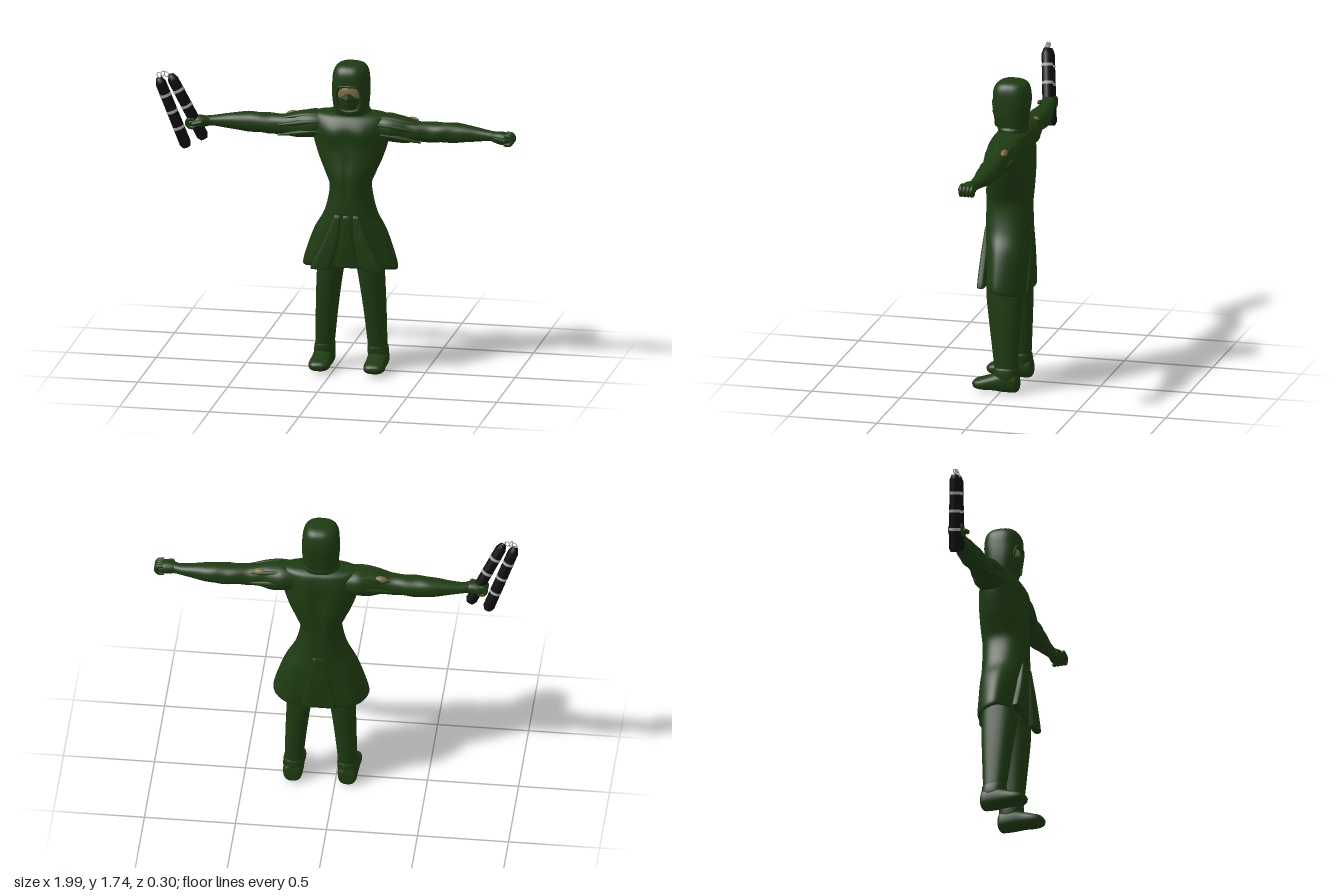
import * as THREE from 'three';
import { ConvexGeometry } from 'three/addons/geometries/ConvexGeometry.js';

const mat = (color) => new THREE.MeshStandardMaterial({ color });
const CX = 0.083; // middle of the body; the weapon on one side shifts it off x = 0

// Catmull-Rom blend of one number
const blend = (a, b, c, d, t) =>
  b + 0.5 * t * (c - a + t * (2 * a - 5 * b + 4 * c - d + t * (3 * (b - c) + d - a)));

// Smooth skin through sections [position, centre1, centre2, radius1, radius2] along an axis.
// axis x: (y, z), axis y: (x, z), axis z: (x, y). p rounds or squares the section.
function loft(axis, sections, { n = 32, steps = 5, p = 2.3, rule } = {}) {
  const order = { x: [1, 2, 0], y: [0, 2, 1], z: [0, 1, 2] }[axis];
  const rows = [];
  const at = (i) => sections[Math.min(Math.max(i, 0), sections.length - 1)];
  for (let i = 0; i < sections.length - 1; i++)
    for (let k = 0; k < steps; k++)
      rows.push(at(i).map((b, j) => blend(at(i - 1)[j], b, at(i + 1)[j], at(i + 2)[j], k / steps)));
  rows.push(sections[sections.length - 1]);
  const pts = [], index = [];
  const add = (a, b, c) => {
    const v = [0, 0, 0];
    v[order[0]] = a; v[order[1]] = b; v[order[2]] = c;
    const w = new THREE.Vector3(...v);
    if (rule) rule(w);
    pts.push(w);
  };
  const power = (c) => Math.sign(c) * Math.abs(c) ** (2 / p);
  for (const [s, c1, c2, r1, r2] of rows)
    for (let k = 0; k < n; k++) {
      const a = (k / n) * Math.PI * 2;
      add(c1 + r1 * power(Math.cos(a)), c2 + r2 * power(Math.sin(a)), s);
    }
  const last = rows.length - 1;
  add(rows[0][1], rows[0][2], rows[0][0]);
  add(rows[last][1], rows[last][2], rows[last][0]);
  const e = rows.length * n;
  for (let k = 0; k < n; k++) {
    const k2 = (k + 1) % n;
    for (let r = 0; r < last; r++) {
      const a = r * n + k, b = r * n + k2;
      index.push(a, b, b + n, a, b + n, a + n);
    }
    index.push(e, k2, k, e + 1, last * n + k, last * n + k2);
  }
  // turn the faces outwards, whichever way the sections ran
  let volume = 0;
  for (let i = 0; i < index.length; i += 3)
    volume += pts[index[i]].dot(pts[index[i + 1]].clone().cross(pts[index[i + 2]]));
  if (volume < 0) index.reverse();
  const g = new THREE.BufferGeometry().setFromPoints(pts);
  g.setIndex(index);
  g.computeVertexNormals();
  return g;
}

export function createModel() {
  const green = mat(0x1d3b11), skin = mat(0x7c6843), black = mat(0x0d0d0d), silver = mat(0xa8a8a8);
  const model = new THREE.Group();
  const body = new THREE.Group();
  body.name = 'body';
  body.position.x = CX;
  model.add(body);
  const put = (name, geometry, material = green, parent = body) => {
    const m = new THREE.Mesh(geometry, material);
    m.name = name;
    parent.add(m);
    return m;
  };
  const tube = (points, r, closed = false) => new THREE.TubeGeometry(
    new THREE.CatmullRomCurve3(points.map((q) => new THREE.Vector3(...q)), closed), 40, r, 8, closed);
  const bump = (v, c, w) => Math.exp(-(((v - c) / w) ** 2));

  // Tunic: hollow flared skirt, narrow waist, broad chest and flat shoulders
  put('tunic', loft('y', [
    [0.75, 0, -0.02, 0.12, 0.07], [0.6, 0, -0.02, 0.24, 0.1], [0.58, 0, -0.02, 0.25, 0.108],
    [0.6, 0, -0.02, 0.262, 0.115], [0.68, 0, -0.018, 0.242, 0.118], [0.8, 0, -0.015, 0.198, 0.124],
    [0.9, 0, -0.01, 0.143, 0.128], [1.04, 0, -0.01, 0.113, 0.128], [1.12, 0, -0.013, 0.138, 0.13],
    [1.2, 0, -0.02, 0.173, 0.124], [1.3, 0, -0.022, 0.205, 0.114], [1.38, 0, -0.022, 0.212, 0.112],
    [1.435, 0, -0.03, 0.212, 0.09], [1.455, 0, -0.035, 0.18, 0.06], [1.462, 0, -0.035, 0.09, 0.04],
  ], {
    n: 64, rule: (v) => {
      if (v.y < 0.95) { // pleats, hem lower at the back
        const k = (0.95 - v.y) / 0.37, a = Math.atan2(v.z + 0.02, v.x);
        const f = 1 + 0.025 * k * Math.sin(9 * a);
        v.x *= f; v.z *= f;
        v.y += v.z * 0.2 * k;
      } else if (v.z > 0) { // chest muscles and middle groove
        v.z += 0.012 * bump(v.y, 1.34, 0.05) * bump(Math.abs(v.x), 0.08, 0.06);
        v.z -= 0.008 * bump(v.x, 0, 0.015) * bump(v.y, 1.12, 0.13);
      } else { // spine and shoulder blades
        v.z += 0.012 * bump(v.x, 0, 0.025) * bump(v.y, 1.2, 0.16);
        v.z -= 0.008 * bump(Math.abs(v.x), 0.09, 0.05) * bump(v.y, 1.3, 0.08);
      }
    },
  }));
  put('middleFlap', loft('y', [
    [0.9, 0, 0.105, 0.02, 0.015], [0.75, 0, 0.1, 0.035, 0.016], [0.62, 0, 0.092, 0.06, 0.014], [0.6, 0, 0.09, 0.058, 0.01],
  ], { p: 4 }));
  put('backFlap', loft('y', [
    [0.9, 0, -0.13, 0.03, 0.012], [0.75, 0, -0.133, 0.06, 0.013], [0.58, 0, -0.13, 0.09, 0.013], [0.56, 0, -0.128, 0.088, 0.01],
  ], { p: 4 }));

  // Hood with the face pressed in
  const opening = (v) => v.z > 0 && (Math.abs(v.x) / 0.064) ** 4 + (Math.abs(v.y - 1.55) / 0.066) ** 4 < 1;
  put('hood', loft('y', [
    [1.42, 0, -0.035, 0.085, 0.065], [1.48, 0, -0.025, 0.095, 0.083], [1.55, 0, -0.02, 0.102, 0.096],
    [1.62, 0, -0.023, 0.102, 0.103], [1.68, 0, -0.022, 0.097, 0.1], [1.715, 0, -0.024, 0.082, 0.084],
    [1.733, 0, -0.025, 0.055, 0.055], [1.738, 0, -0.025, 0.02, 0.02],
  ], { n: 72, steps: 8, p: 2.6, rule: (v) => { if (opening(v)) v.z -= 0.022; } }));
  put('hoodRim', tube([
    [0, 1.622, 0.077], [0.05, 1.617, 0.072], [0.066, 1.59, 0.064], [0.066, 1.53, 0.055], [0.048, 1.488, 0.056],
    [0, 1.475, 0.06], [-0.048, 1.488, 0.056], [-0.066, 1.53, 0.055], [-0.066, 1.59, 0.064], [-0.05, 1.617, 0.072],
  ], 0.007, true));
  const face = put('face', new THREE.SphereGeometry(1, 32, 20), skin);
  face.scale.set(0.066, 0.075, 0.04);
  face.position.set(0, 1.57, 0.03);
  const maskPoints = [[0, 1.585, 0.078], [0, 1.55, 0.09], [0, 1.49, 0.072], [0, 1.48, 0.03]];
  for (const m of [-1, 1])
    maskPoints.push([m * 0.062, 1.55, 0.045], [m * 0.035, 1.555, 0.072], [m * 0.04, 1.49, 0.055], [m * 0.05, 1.51, 0.03]);
  put('mask', new ConvexGeometry(maskPoints.map((q) => new THREE.Vector3(...q))));
  put('neckWrap', loft('y', [
    [1.44, 0, -0.03, 0.1, 0.075], [1.47, 0, -0.028, 0.105, 0.082], [1.49, 0, -0.025, 0.09, 0.078],
  ]));

  for (const m of [-1, 1]) {
    const side = m > 0 ? 'left' : 'right';
    const limb = (name, axis, sections, opts) =>
      put(side + name, loft(axis, sections.map((s) => {
        const c = [...s];
        c[axis === 'x' ? 0 : 1] *= m;
        return c;
      }), opts));

    // Arm with wound cloth folds
    limb('Arm', 'x', [
      [0.1, 1.375, -0.03, 0.06, 0.07], [0.2, 1.378, -0.033, 0.075, 0.09], [0.27, 1.37, -0.03, 0.074, 0.08],
      [0.33, 1.366, -0.025, 0.065, 0.064], [0.4, 1.362, -0.027, 0.055, 0.058], [0.5, 1.363, -0.033, 0.055, 0.06],
      [0.6, 1.364, -0.036, 0.052, 0.056], [0.7, 1.363, -0.03, 0.038, 0.042], [0.77, 1.362, -0.022, 0.028, 0.034],
      [0.81, 1.36, -0.012, 0.028, 0.03],
    ], {
      rule: (v) => {
        const a = Math.atan2(v.z + 0.03, v.y - 1.365), s = Math.abs(v.x);
        const f = 1 + 0.04 * Math.sin(s * 48 + 2 * a) * bump(s, 0.45, 0.2);
        v.y = 1.365 + (v.y - 1.365) * f;
        v.z = -0.03 + (v.z + 0.03) * f;
      },
    });
    // Shoulder straps running down the upper arm
    for (const [y, z, r] of [[1.432, 0.012, 0.016], [1.4, 0.043, 0.014], [1.345, 0.043, 0.013], [1.425, -0.085, 0.014], [1.37, -0.105, 0.014]])
      limb('ShoulderFold', 'x', [
        [0.14, y + 0.005, z, 0.006, 0.006], [0.22, y, z, r, r], [0.3, y - 0.012, z * 0.9, r, r], [0.4, y - 0.03, z * 0.75, 0.004, 0.004],
      ], { n: 12 });
    const patch = put(side + 'ArmSkin', new THREE.SphereGeometry(1, 16, 10), skin);
    patch.scale.set(0.04, 0.02, 0.02);
    patch.position.set(m * 0.33, 1.412, -0.064);

    // Fist: palm, four curled fingers and a thumb
    limb('Palm', 'x', [
      [0.785, 1.36, -0.012, 0.024, 0.028], [0.83, 1.358, -0.003, 0.034, 0.04], [0.87, 1.355, -0.002, 0.034, 0.042], [0.895, 1.35, 0, 0.025, 0.036],
    ]);
    for (let i = 0; i < 4; i++) {
      const z = -0.03 + i * 0.02;
      put(side + 'Finger', tube([
        [m * 0.865, 1.378, z], [m * 0.895, 1.374, z], [m * 0.906, 1.353, z], [m * 0.893, 1.332, z], [m * 0.86, 1.331, z],
      ], 0.0115));
    }
    const thumb = put(side + 'Thumb', new THREE.CapsuleGeometry(0.013, 0.045, 6, 12));
    thumb.position.set(m * 0.845, 1.358, 0.042);
    thumb.rotation.z = m * 1.3;

    // Front skirt panel
    limb('SkirtPanel', 'y', [
      [0.9, 0.05, 0.1, 0.018, 0.016], [0.76, 0.085, 0.107, 0.04, 0.02], [0.61, 0.14, 0.108, 0.056, 0.022], [0.59, 0.143, 0.106, 0.052, 0.016],
    ], { p: 4 });

    // Leg, ankle band and foot
    limb('Leg', 'y', [
      [0.8, 0.075, -0.015, 0.075, 0.095], [0.68, 0.098, -0.012, 0.078, 0.1], [0.55, 0.115, -0.01, 0.07, 0.1],
      [0.35, 0.133, -0.018, 0.06, 0.083], [0.13, 0.147, -0.027, 0.051, 0.063], [0.08, 0.148, -0.03, 0.05, 0.06],
    ], { p: 2.5 });
    limb('AnkleBand', 'y', [
      [0.145, 0.146, -0.027, 0.05, 0.062], [0.13, 0.147, -0.028, 0.056, 0.067], [0.09, 0.15, -0.03, 0.056, 0.066], [0.06, 0.15, -0.03, 0.05, 0.06],
    ], { p: 2.5 });
    limb('Foot', 'z', [
      [-0.1, 0.15, 0.05, 0.03, 0.03], [-0.085, 0.15, 0.06, 0.05, 0.055], [-0.02, 0.15, 0.063, 0.056, 0.06],
      [0.04, 0.152, 0.055, 0.056, 0.046], [0.1, 0.153, 0.045, 0.059, 0.035], [0.14, 0.153, 0.042, 0.05, 0.025], [0.157, 0.152, 0.042, 0.025, 0.01],
    ], { p: 2.5 });
  }

  // Pair of banded sticks held in the right hand, joined by a short chain
  const weapon = new THREE.Group();
  weapon.name = 'chainSticks';
  model.add(weapon);
  const tops = [[-0.975, 1.605, 0.05], [-0.91, 1.625, 0.045]];
  const ends = [[-0.83, 1.21, 0.0], [-0.735, 1.26, -0.01]];
  tops.forEach((t, i) => {
    const a = new THREE.Vector3(...t), b = new THREE.Vector3(...ends[i]);
    const half = a.distanceTo(b) / 2;
    const stick = new THREE.Group();
    stick.name = 'stick';
    stick.position.copy(a).add(b).multiplyScalar(0.5);
    stick.quaternion.setFromUnitVectors(new THREE.Vector3(0, 1, 0), a.clone().sub(b).normalize());
    weapon.add(stick);
    const profile = [[0, -half], [0.022, -half], [0.032, -half + 0.02], [0.03, half - 0.03], [0.018, half], [0, half]];
    put('handle', new THREE.LatheGeometry(profile.map((q) => new THREE.Vector2(...q)), 16), black, stick);
    for (const y of [-0.09, 0.01, 0.11])
      put('band', new THREE.CylinderGeometry(0.0325, 0.0325, 0.016, 16), silver, stick).position.y = y;
  });
  for (let i = 0; i < 4; i++) {
    const link = put('chainLink', new THREE.TorusGeometry(0.014, 0.003, 6, 16), silver, weapon);
    link.position.set(-0.973 + i * 0.02, 1.618 + 0.014 * Math.sin((i + 0.4) * 0.9), 0.05);
    link.rotation.set(0, i % 2 ? 0.9 : -0.4, 0.3);
  }
  return model;
}
